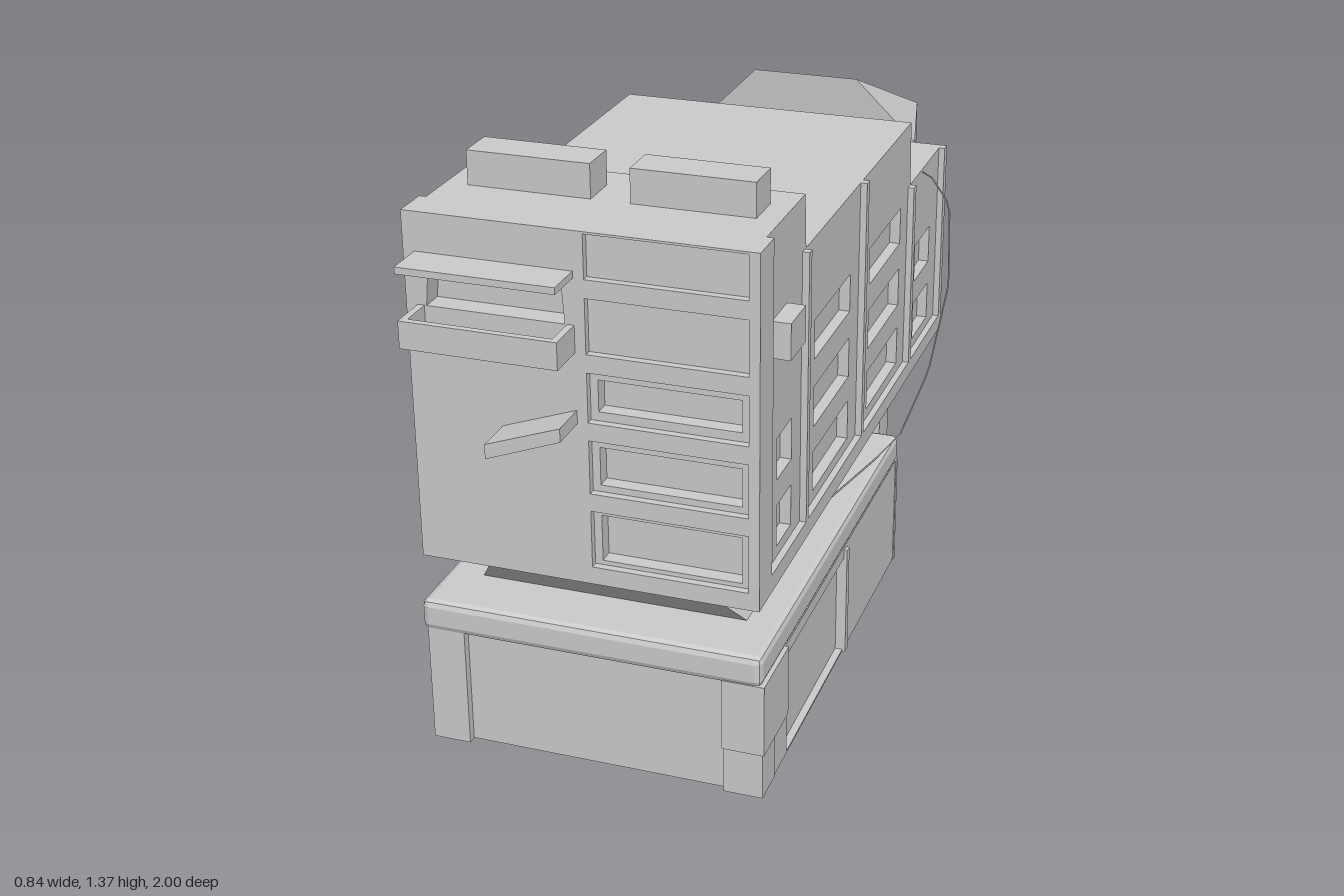
import * as THREE from 'three';
import { RoundedBoxGeometry } from 'three/addons/geometries/RoundedBoxGeometry.js';

const mat = new THREE.MeshStandardMaterial({ color: 0xcccccc, flatShading: true, side: THREE.DoubleSide });
const CX = -0.035; // centre line of the house

function add(parent, name, geometry) {
  const m = new THREE.Mesh(geometry, mat);
  m.name = name;
  parent.add(m);
  return m;
}

// Box from its lower and upper limits on each axis
function box(parent, name, x0, x1, y0, y1, z0, z1) {
  const g = new THREE.BoxGeometry(x1 - x0, y1 - y0, z1 - z0);
  return add(parent, name, g.translate((x0 + x1) / 2, (y0 + y1) / 2, (z0 + z1) / 2));
}

const rect = (a0, a1, b0, b1) => [[a0, b0], [a1, b0], [a1, b1], [a0, b1]];

function plate(points, holes, depth) {
  const shape = new THREE.Shape(points.map(p => new THREE.Vector2(...p)));
  for (const h of holes) shape.holes.push(new THREE.Path(h.map(p => new THREE.Vector2(...p))));
  return new THREE.ExtrudeGeometry(shape, { depth, bevelEnabled: false });
}

// Plate facing z, outline in (x, y)
function frontPlate(parent, name, points, holes, z0, z1) {
  return add(parent, name, plate(points, holes, z1 - z0).translate(0, 0, z0));
}

// Plate facing x, outline in (z, y)
function sidePlate(parent, name, points, holes, x0, x1) {
  const flip = list => list.map(([z, y]) => [-z, y]);
  const g = plate(flip(points), holes.map(flip), x1 - x0);
  return add(parent, name, g.rotateY(Math.PI / 2).translate(x0, 0, 0));
}

// Solid joining rings of four corners: [x0, x1, z0, z1, y]
function loft(parent, name, rings) {
  const pos = [], idx = [];
  for (const [x0, x1, z0, z1, y] of rings) pos.push(x0, y, z1, x1, y, z1, x1, y, z0, x0, y, z0);
  for (let r = 0; r < rings.length - 1; r++)
    for (let i = 0; i < 4; i++) {
      const a = r * 4 + i, b = r * 4 + (i + 1) % 4;
      idx.push(a, b, b + 4, a, b + 4, a + 4);
    }
  const t = (rings.length - 1) * 4;
  idx.push(0, 2, 1, 0, 3, 2, t, t + 1, t + 2, t, t + 2, t + 3);
  const g = new THREE.BufferGeometry();
  g.setAttribute('position', new THREE.Float32BufferAttribute(pos, 3));
  g.setIndex(idx);
  const flat = g.toNonIndexed();
  flat.computeVertexNormals();
  return add(parent, name, flat);
}

function buildHouse(root) {
  const house = new THREE.Group();
  house.name = 'house';
  root.add(house);
  const outline = [[0.86, 0.51], [0.86, 1.29], [0.57, 1.29], [0.56, 1.17], [-0.305, 1.17],
    [-0.315, 1.01], [-0.63, 1.01], [-0.63, 0.51]];
  sidePlate(house, 'houseCore', outline, [], CX - 0.335, CX + 0.335);

  // Side windows, in columns (z) and rows (y)
  const rows = [[0.575, 0.67], [0.73, 0.825], [0.89, 0.98]];
  const columns = [[0.65, 0.75, 2], [0.215, 0.49, 3], [-0.225, 0.05, 3], [-0.53, -0.385, 2]];
  const windows = columns.flatMap(([z0, z1, n]) => rows.slice(0, n).map(([y0, y1]) => rect(z0, z1, y0, y1)));
  const ribs = [[0.825, 0.86, 1.29], [0.567, 0.585, 1.17], [0.125, 0.145, 1.17],
    [-0.315, -0.292, 1.01], [-0.63, -0.605, 1.01]];
  for (const s of [-1, 1]) {
    const span = (a, b) => s > 0 ? [CX + a, CX + b] : [CX - b, CX - a];
    sidePlate(house, 'sidePanel', outline, windows, ...span(0.335, 0.36));
    const [r0, r1] = span(0.36, 0.375);
    box(house, 'sillRail', r0, r1, 0.51, 0.55, -0.63, 0.86);
    for (const [z0, z1, top] of ribs) box(house, 'sideRib', r0, r1, 0.55, top, z0, z1);
  }

  // Front wall: drawer-like panels on one half, service hatch on the other
  const wall = rect(-0.41, 0.34, 0.51, 1.29);
  const hatch = [[-0.365, 1.09], [-0.065, 1.09], [-0.07, 1.165], [-0.358, 1.165]];
  const cells = [[0.55, 0.68], [0.72, 0.84], [0.88, 0.99], [1.03, 1.15], [1.19, 1.285]];
  const panes = [[0.56, 0.665], [0.735, 0.82], [0.9, 0.97]];
  frontPlate(house, 'frontPanel', wall, [hatch, ...panes.map(p => rect(-0.005, 0.298, ...p))], 0.86, 0.893);
  frontPlate(house, 'frontFrame', wall, [hatch, ...cells.map(c => rect(-0.022, 0.317, ...c))], 0.893, 0.91);

  // Awning, open counter tray and slanted board
  box(house, 'awning', -0.385, -0.045, 1.19, 1.205, 0.91, 1.0);
  box(house, 'trayFloor', -0.385, -0.045, 1.03, 1.045, 0.91, 1.0);
  box(house, 'trayFront', -0.385, -0.045, 1.03, 1.09, 0.985, 1.0);
  for (const x of [-0.385, -0.06]) box(house, 'traySide', x, x + 0.015, 1.03, 1.09, 0.91, 1.0);
  frontPlate(house, 'slantedBoard', [[-0.21, 0.812], [-0.045, 0.875], [-0.045, 0.905], [-0.21, 0.845]], [], 0.91, 1.0);

  // Roof boxes, side box and rear socket
  box(house, 'roofBox', -0.345, -0.075, 1.29, 1.365, 0.645, 0.735);
  box(house, 'roofBox', 0.01, 0.275, 1.29, 1.365, 0.645, 0.735);
  box(house, 'sideBox', 0.32, 0.365, 1.02, 1.1, 0.69, 0.79);
  frontPlate(house, 'rearSocket', rect(-0.09, 0.02, 1.03, 1.085),
    [rect(-0.08, -0.04, 1.04, 1.075), rect(-0.03, 0.01, 1.04, 1.075)], -0.325, -0.3);
}

// Flared rear bay with a faceted roof, mirrored about the centre line
function buildTail(root) {
  const pos = [];
  const tri = (a, b, c) => pos.push(...a, ...b, ...c);
  const quad = (a, b, c, d) => { tri(a, b, c); tri(a, c, d); };
  const pair = (dx, y, z) => [[CX + dx, y, z], [CX - dx, y, z]];
  const floorF = pair(0.375, 0.51, -0.63), floorB = pair(0.29, 0.51, -1.0);
  const lipF = pair(0.375, 0.55, -0.63), lipB = pair(0.29, 0.55, -1.0);
  const waist = pair(0.215, 0.7, -0.96), eaveB = pair(0.215, 1.01, -0.955);
  const eaveF = pair(0.29, 1.01, -0.63), ridge = pair(0.135, 1.165, -0.62);
  for (const s of [0, 1]) {
    const q = s ? (a, b, c, d) => quad(d, c, b, a) : quad;
    const t = s ? (a, b, c) => tri(c, b, a) : tri;
    q(floorF[s], floorB[s], lipB[s], lipF[s]);
    t(lipF[s], lipB[s], eaveF[s]);
    t(lipB[s], waist[s], eaveF[s]);
    t(waist[s], eaveB[s], eaveF[s]);
    t(eaveF[s], eaveB[s], ridge[s]);
  }
  const across = (a, b) => quad(a[0], a[1], b[1], b[0]);
  across(floorB, lipB);
  across(lipB, waist);
  across(waist, eaveB);
  across(eaveB, ridge);
  across(ridge, eaveF);
  across(floorF, floorB);
  const g = new THREE.BufferGeometry();
  g.setAttribute('position', new THREE.Float32BufferAttribute(pos, 3));
  g.computeVertexNormals();
  add(root, 'rearBay', g);
}

function buildBase(root) {
  const base = new THREE.Group();
  base.name = 'base';
  root.add(base);
  // Hollow plinth, open below
  box(base, 'backWall', -0.41, 0.347, 0.055, 0.335, -0.185, -0.17);
  box(base, 'frontPanel', -0.33, 0.265, 0.055, 0.335, 0.875, 0.89);
  box(base, 'cornerPost', -0.41, -0.325, 0.055, 0.335, 0.86, 0.91);
  box(base, 'cornerPost', 0.26, 0.347, 0.055, 0.335, 0.82, 0.905);
  box(base, 'cornerBlock', 0.26, 0.353, 0.168, 0.335, 0.745, 0.915);
  sidePlate(base, 'sideWall', rect(-0.185, 0.91, 0.055, 0.335), [rect(0.255, 0.585, 0.17, 0.25)], -0.41, -0.39);
  box(base, 'ventBack', -0.39, -0.38, 0.16, 0.26, 0.245, 0.595);
  sidePlate(base, 'sideWall', rect(-0.185, 0.905, 0.055, 0.335), [rect(0.29, 0.73, 0.06, 0.305)], 0.325, 0.345);
  box(base, 'door', 0.315, 0.328, 0.055, 0.31, 0.285, 0.735);
  box(base, 'doorJamb', 0.34, 0.352, 0.055, 0.325, 0.27, 0.29);
  // Deck slab with softened edges
  const deck = new RoundedBoxGeometry(0.767, 0.072, 1.105, 1, 0.015);
  add(base, 'deck', deck.translate(-0.0375, 0.364, 0.3625));
  // Turntable under the house
  loft(base, 'turntableFoot', [[-0.34, 0.272, -0.03, 0.77, 0.395], [-0.3, 0.232, -0.03, 0.82, 0.457]]);
  box(base, 'turntable', -0.3, 0.23, 0.457, 0.515, -0.1, 0.82);
}

export function createModel() {
  const root = new THREE.Group();
  root.name = 'raisedCabin';
  buildHouse(root);
  buildTail(root);
  buildBase(root);
  // Rear legs with flared feet
  for (const x of [-0.207, 0.142]) {
    const ring = (r, y) => [x - r, x + r, -0.664 - r, -0.664 + r, y];
    loft(root, 'rearLeg', [ring(0.057, 0), ring(0.055, 0.012), ring(0.044, 0.045), ring(0.044, 0.475), ring(0.054, 0.512)]);
  }
  // Loose cable from the rear socket down to the deck
  const cable = new THREE.CurvePath();
  const pts = [[-0.02, 1.06, -0.32], [0, 1.03, -0.41], [0.2, 1.02, -0.43], [0.34, 1.0, -0.44], [0.4, 0.93, -0.42],
    [0.417, 0.74, -0.37], [0.395, 0.54, -0.28], [0.36, 0.42, -0.15], [0.33, 0.405, -0.03], [0.27, 0.405, 0.26]]
    .map(p => new THREE.Vector3(...p));
  for (let i = 1; i < pts.length; i++) cable.add(new THREE.LineCurve3(pts[i - 1], pts[i]));
  add(root, 'cable', new THREE.TubeGeometry(cable, 48, 0.002, 4));
  return root;
}
